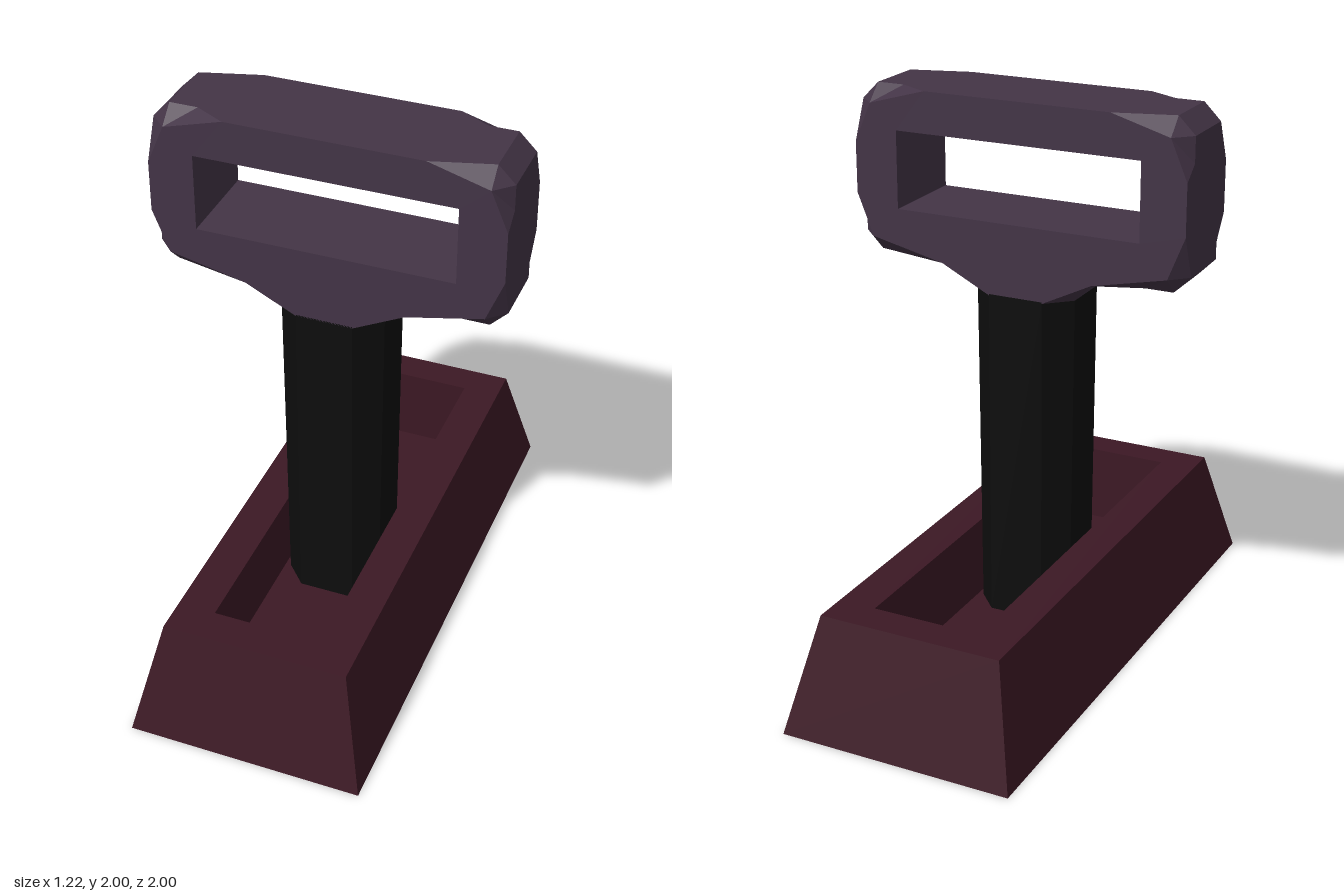
import * as THREE from 'three';

const V = (x, y, z) => new THREE.Vector3(x, y, z);
const MID_Z = 0.06; // centre plane of stem and handle
const HALF_Z = 0.17;

// Flat faces joining a series of equal-length loops (counter-clockwise about the loft direction)
function loft(loops, capStart = false, capEnd = false) {
  const pos = [];
  const tri = (a, b, c) => {
    const area = V().crossVectors(b.clone().sub(a), c.clone().sub(a)).length();
    if (area > 1e-7) pos.push(...a, ...b, ...c);
  };
  for (let k = 0; k < loops.length - 1; k++) {
    const a = loops[k], b = loops[k + 1], n = a.length;
    for (let i = 0; i < n; i++) {
      const j = (i + 1) % n;
      tri(a[i], a[j], b[j]);
      tri(a[i], b[j], b[i]);
    }
  }
  const first = loops[0], last = loops[loops.length - 1];
  for (let i = 1; i < first.length - 1; i++) {
    if (capStart) tri(first[0], first[i + 1], first[i]);
    if (capEnd) tri(last[0], last[i], last[i + 1]);
  }
  const g = new THREE.BufferGeometry();
  g.setAttribute('position', new THREE.Float32BufferAttribute(pos, 3));
  g.computeVertexNormals();
  return g;
}

function part(name, geometry, material) {
  const m = new THREE.Mesh(geometry, material);
  m.name = name;
  return m;
}

const mat = (color) => new THREE.MeshStandardMaterial({ color, flatShading: true });

// Sloped block with a rectangular trough in its top
function makeBase(material) {
  const rect = (x, z, y) => [V(x, y, z), V(x, y, -z), V(-x, y, -z), V(-x, y, z)];
  const loops = [rect(0.42, 1, 0), rect(0.33, 0.88, 0.41), rect(0.195, 0.76, 0.41), rect(0.195, 0.76, 0.12)];
  return part('base', loft(loops, true, true), material);
}

// Chamfered post, slightly narrower at the foot
function makeStem(material) {
  const octagon = (w, y) => [
    [w, 0.09], [w, -0.09], [0.1, -HALF_Z], [-0.1, -HALF_Z],
    [-w, -0.09], [-w, 0.09], [-0.1, HALF_Z], [0.1, HALF_Z],
  ].map(([x, z]) => V(x, y, z + MID_Z));
  return part('stem', loft([octagon(0.175, 0.12), octagon(0.185, 1.325)], true, true), material);
}

// Faceted grip frame with a rectangular opening and a flared neck
function makeHandle(material) {
  const group = new THREE.Group();
  group.name = 'handle';

  // Half outlines from top to neck: the front face, and the fuller belt behind it
  const face = [
    [0.34, 2], [0.55, 1.94], [0.55, 1.94], [0.61, 1.8],
    [0.61, 1.62], [0.55, 1.47], [0.55, 1.47], [0.28, 1.41], [0.28, 1.41], [0.1, 1.32],
  ];
  const belt = [
    [0.45, 2], [0.55, 2], [0.61, 1.94], [0.61, 1.85],
    [0.61, 1.53], [0.61, 1.47], [0.55, 1.41], [0.45, 1.41], [0.28, 1.41], [0.185, 1.32],
  ];
  const full = (half) => [...half.map(([x, y]) => [-x, y]), ...half.slice().reverse()];
  const loop = (half, dir) => full(half).map(([x, y]) => {
    const depth = half === face ? HALF_Z : y < 1.4 ? 0.09 : 0.11;
    return V(x, y, MID_Z + dir * depth);
  });
  group.add(part('handleRim', loft([loop(face, -1), loop(belt, -1), loop(belt, 1), loop(face, 1)]), material));

  // Front and back faces with the opening
  const hole = [[-0.45, 1.58], [-0.45, 1.855], [0.45, 1.855], [0.45, 1.58]];
  const points = full(face)
    .filter((p, i, a) => i === 0 || p[0] !== a[i - 1][0] || p[1] !== a[i - 1][1])
    .map(([x, y]) => new THREE.Vector2(x, y));
  const shape = new THREE.Shape(points);
  shape.holes.push(new THREE.Path(hole.map(([x, y]) => new THREE.Vector2(x, y))));
  const front = part('handleFront', new THREE.ShapeGeometry(shape), material);
  front.position.z = MID_Z + HALF_Z;
  const back = part('handleBack', new THREE.ShapeGeometry(shape), material);
  back.rotation.y = Math.PI;
  back.position.z = MID_Z - HALF_Z;
  group.add(front, back);

  // Inner walls of the opening
  const inner = [-1, 1].map((dir) => hole.map(([x, y]) => V(x, y, MID_Z + dir * HALF_Z)));
  group.add(part('handleOpening', loft(inner), material));
  return group;
}

export function createModel() {
  const model = new THREE.Group();
  model.name = 'leverOnBase';
  model.add(makeBase(mat(0x3c1824)), makeStem(mat(0x0d0d0d)), makeHandle(mat(0x433446)));
  return model;
}
